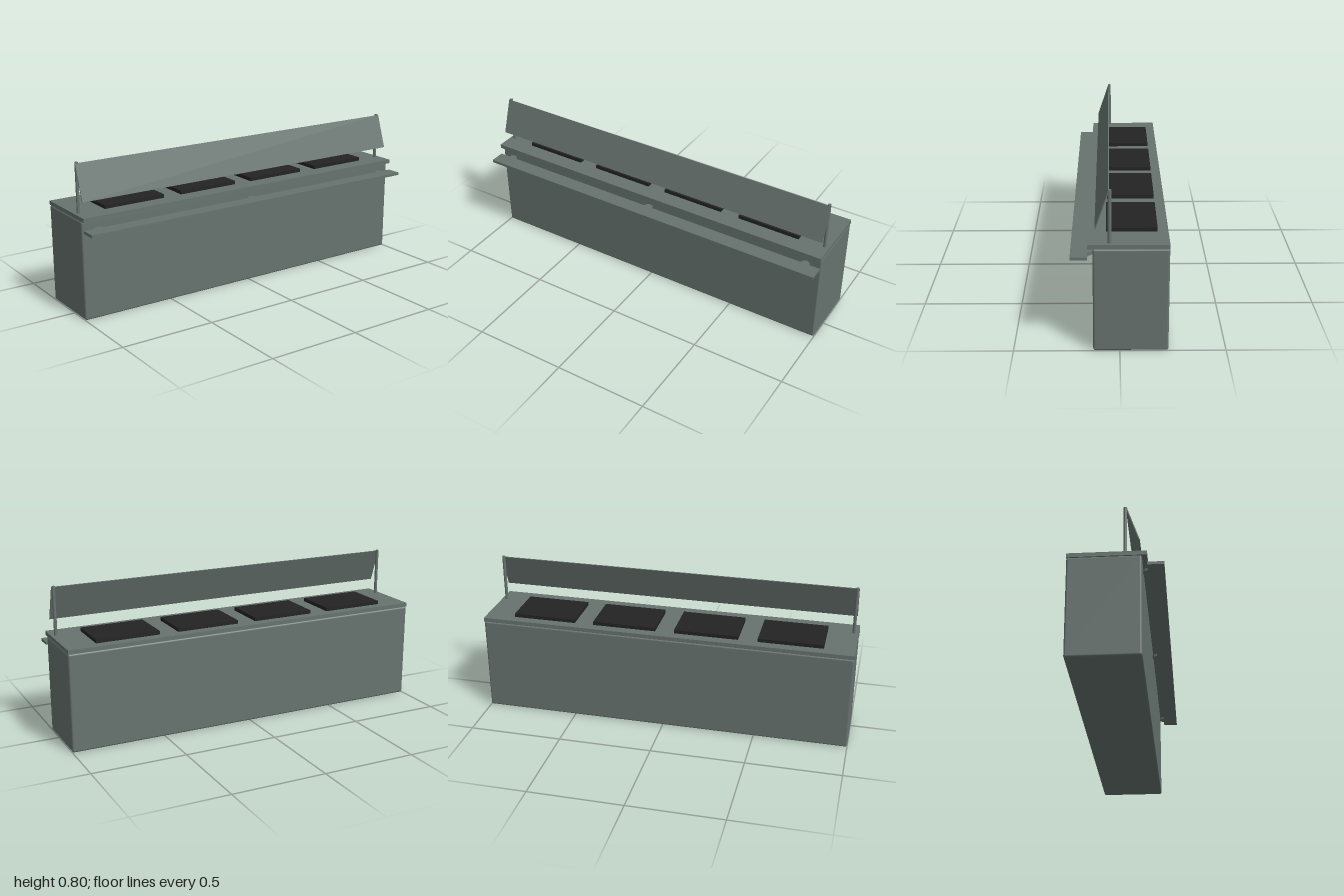
import * as THREE from 'three';
import { RoundedBoxGeometry } from 'three/addons/geometries/RoundedBoxGeometry.js';

export function createModel() {
  const group = new THREE.Group();
  const steel = new THREE.MeshStandardMaterial({ color: 0x67736f });
  steel.name = 'greySteel';
  const black = new THREE.MeshStandardMaterial({ color: 0x232323 });
  black.name = 'blackHob';

  const add = (name, geometry, material, x, y, z) => {
    const mesh = new THREE.Mesh(geometry, material);
    mesh.name = name;
    mesh.position.set(x, y, z);
    group.add(mesh);
    return mesh;
  };
  // Box given by its x centre, width and y / z ranges
  const slab = (name, material, x, w, y0, y1, z0, z1) =>
    add(name, new THREE.BoxGeometry(w, y1 - y0, z1 - z0), material, x, (y0 + y1) / 2, (z0 + z1) / 2);

  // Cabinet with softened edges, and the worktop
  add('cabinet', new RoundedBoxGeometry(2, 0.516, 0.354, 3, 0.01), steel, 0, 0.258, -0.052);
  slab('worktop', steel, 0, 2, 0.516, 0.538, -0.229, 0.149);

  // Warming plates
  for (const x of [-0.668, -0.2225, 0.2225, 0.668]) {
    slab('warmingPlate', black, x, 0.342, 0.538, 0.557, -0.178, 0.063);
  }

  // Tray rail on round brackets
  slab('trayRail', steel, 0, 2, 0.462, 0.477, 0.149, 0.229);
  for (const x of [-0.92, 0, 0.92]) {
    add('railBracket', new THREE.CylinderGeometry(0.024, 0.024, 0.0145, 24), steel, x, 0.4695, 0.149);
  }

  // Posts holding the tilted guard panel
  for (const x of [-0.975, 0.975]) {
    add('guardPost', new THREE.CylinderGeometry(0.0085, 0.0085, 0.257, 20), steel, x, 0.6665, 0.0465);
  }
  const top = new THREE.Vector2(0.051, 0.79);
  const bottom = new THREE.Vector2(0.113, 0.608);
  const panel = add('guardPanel', new THREE.BoxGeometry(1.97, top.distanceTo(bottom), 0.005), steel,
    0, (top.y + bottom.y) / 2, (top.x + bottom.x) / 2);
  panel.rotation.x = -Math.atan2(bottom.x - top.x, top.y - bottom.y);

  return group;
}
